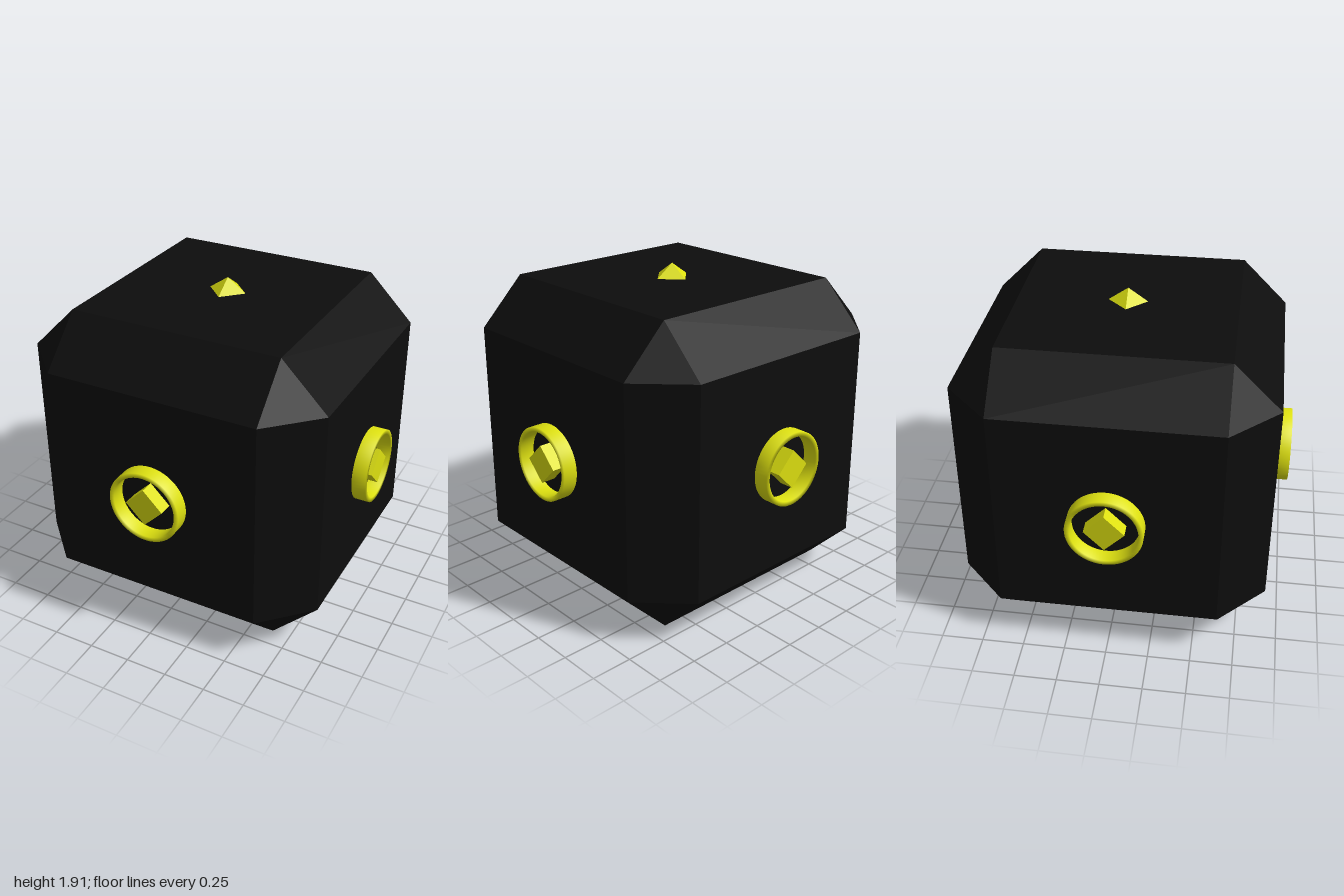
import * as THREE from 'three';
import { ConvexGeometry } from 'three/addons/geometries/ConvexGeometry.js';

const HALF = 0.915;   // half size of the cube
const FLAT = 0.64;    // half size of each flat face inside the bevels
const OUT = 0.085;    // how far the ports stand out

export function createModel() {
  const model = new THREE.Group();
  const black = new THREE.MeshStandardMaterial({ color: 0x0d0d0d, flatShading: true });
  const yellow = new THREE.MeshStandardMaterial({ color: 0xdde010 });
  const yellowFlat = new THREE.MeshStandardMaterial({ color: 0xdde010, flatShading: true });

  const add = (parent, name, geometry, material, y) => {
    const mesh = new THREE.Mesh(geometry, material);
    mesh.name = name;
    mesh.position.y = y;
    parent.add(mesh);
  };

  // Cube with bevelled edges and triangular corners
  const corners = [];
  for (const x of [-1, 1]) for (const y of [-1, 1]) for (const z of [-1, 1]) {
    corners.push(
      new THREE.Vector3(x * HALF, y * FLAT, z * FLAT),
      new THREE.Vector3(x * FLAT, y * HALF, z * FLAT),
      new THREE.Vector3(x * FLAT, y * FLAT, z * HALF));
  }
  add(model, 'bevelledCube', new ConvexGeometry(corners), black, HALF);

  // Ring wall, profile runs outside, over the rim, then down the inside
  const ringProfile = [[0.22, 0], [0.22, OUT], [0.192, OUT], [0.192, 0]]
    .map(([r, y]) => new THREE.Vector2(r, y));
  const ringGeometry = new THREE.LatheGeometry(ringProfile, 64);
  const pegGeometry = new THREE.CylinderGeometry(0.115, 0.115, OUT, 4);

  // One ring with a square peg on each of the four sides
  ['front', 'left', 'back', 'right'].forEach((side, i) => {
    const port = new THREE.Group();
    port.name = side + 'Port';
    add(port, 'ring', ringGeometry, yellow, 0);
    add(port, 'squarePeg', pegGeometry, yellowFlat, OUT / 2 - 0.001);
    const angle = i * Math.PI / 2;
    port.rotation.set(Math.PI / 2, angle, 0, 'YXZ');
    port.position.set(Math.sin(angle) * HALF, HALF, Math.cos(angle) * HALF);
    model.add(port);
  });

  // Small pyramid on top
  add(model, 'topPyramid', new THREE.ConeGeometry(0.115, 0.08, 4), yellowFlat, 2 * HALF + 0.04);

  return model;
}
